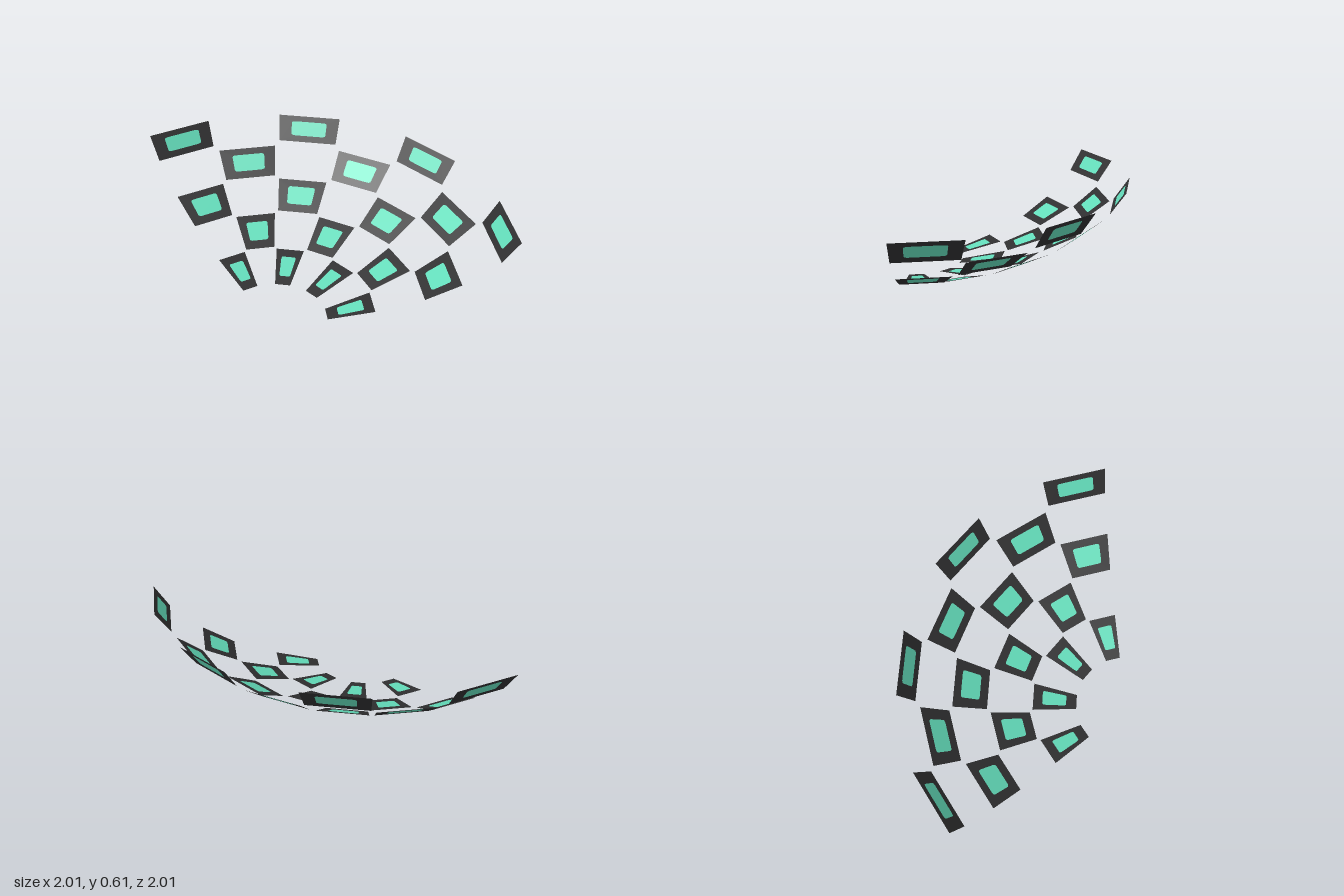
import * as THREE from 'three';

const CENTRE = { x: -0.544, z: 0.544 }; // axis of the bowl
const SECTOR = 18; // degrees per column
const GAP = 0.7; // degrees trimmed from each side of a panel

// inner radius, inner height, outer radius, outer height
const ROWS = [
  [0.357, 0.0, 0.665, 0.059],
  [0.686, 0.059, 0.957, 0.15],
  [0.98, 0.156, 1.21, 0.275],
  [1.231, 0.289, 1.413, 0.428],
  [1.44, 0.458, 1.547, 0.612],
];

// Rounded window outline in the unit square of a panel
function roundedRect(path, u0, v0, u1, v1, r) {
  path.moveTo(u0 + r, v0);
  path.lineTo(u1 - r, v0);
  path.quadraticCurveTo(u1, v0, u1, v0 + r);
  path.lineTo(u1, v1 - r);
  path.quadraticCurveTo(u1, v1, u1 - r, v1);
  path.lineTo(u0 + r, v1);
  path.quadraticCurveTo(u0, v1, u0, v1 - r);
  path.lineTo(u0, v0 + r);
  path.quadraticCurveTo(u0, v0, u0 + r, v0);
  return path;
}

// Point on the bowl at an azimuth, measured from -z towards +x
function bowlPoint(degrees, radius, y) {
  const a = THREE.MathUtils.degToRad(degrees);
  return new THREE.Vector3(
    CENTRE.x + radius * Math.sin(a), y, CENTRE.z - radius * Math.cos(a));
}

// Stretch a unit-square shape over one flat four-sided panel
function panelGeometry(shape, row, startAngle) {
  const [r0, y0, r1, y1] = row;
  const a0 = startAngle + GAP, a1 = startAngle + SECTOR - GAP;
  const innerA = bowlPoint(a0, r0, y0), innerB = bowlPoint(a1, r0, y0);
  const outerA = bowlPoint(a0, r1, y1), outerB = bowlPoint(a1, r1, y1);
  const geometry = new THREE.ShapeGeometry(shape, 4);
  const pos = geometry.attributes.position;
  for (let i = 0; i < pos.count; i++) {
    const u = pos.getX(i), v = pos.getY(i);
    const p = innerA.clone().lerp(innerB, u)
      .lerp(outerA.clone().lerp(outerB, u), v);
    pos.setXYZ(i, p.x, p.y, p.z);
  }
  geometry.computeVertexNormals();
  return geometry;
}

export function createModel() {
  const model = new THREE.Group();
  model.name = 'panelBowl';

  const charcoal = new THREE.MeshStandardMaterial({ color: 0x2f2f30, side: THREE.DoubleSide });
  charcoal.name = 'charcoal';
  const mint = new THREE.MeshStandardMaterial({ color: 0x63dcba, side: THREE.DoubleSide });
  mint.name = 'mint';

  // Frame with a window opening, and the pane that fills it
  const windowArea = [0.21, 0.24, 0.8, 0.79, 0.07];
  const frameShape = new THREE.Shape([
    new THREE.Vector2(0, 0), new THREE.Vector2(1, 0),
    new THREE.Vector2(1, 1), new THREE.Vector2(0, 1),
  ]);
  frameShape.holes.push(roundedRect(new THREE.Path(), ...windowArea));
  const paneShape = roundedRect(new THREE.Shape(), ...windowArea);

  // Checkerboard of panels: alternate rows shift by one column
  ROWS.forEach((row, r) => {
    const ring = new THREE.Group();
    ring.name = `panelRow${r + 1}`;
    for (let column = r % 2; column < 7; column += 2) {
      const start = (column - 1) * SECTOR;
      const frame = new THREE.Mesh(panelGeometry(frameShape, row, start), charcoal);
      frame.name = 'panelFrame';
      const pane = new THREE.Mesh(panelGeometry(paneShape, row, start), mint);
      pane.name = 'panelPane';
      ring.add(frame, pane);
    }
    model.add(ring);
  });

  return model;
}
